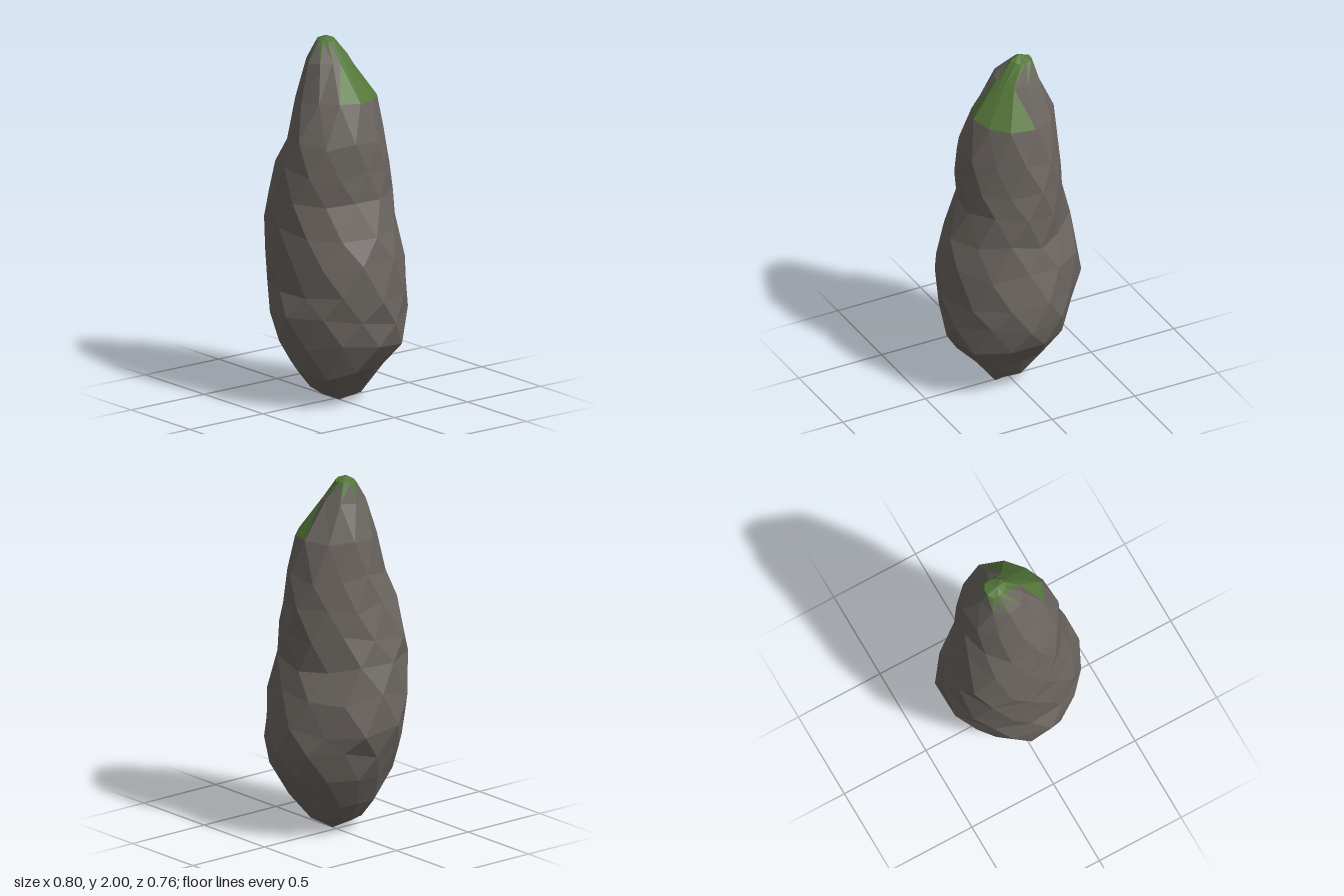
import * as THREE from 'three';

const SIDES = 11;

// Cross-sections from bottom to top: height, then the radius in eight
// directions turning from +x through +z, -x and -z.
const SECTIONS = [
  [0.07, 0.13, 0.14, 0.16, 0.13, 0.08, 0.11, 0.11, 0.14],
  [0.20, 0.27, 0.28, 0.28, 0.22, 0.17, 0.21, 0.20, 0.25],
  [0.36, 0.37, 0.35, 0.36, 0.29, 0.28, 0.31, 0.32, 0.36],
  [0.50, 0.385, 0.37, 0.385, 0.34, 0.345, 0.345, 0.365, 0.385],
  [0.64, 0.40, 0.385, 0.34, 0.36, 0.40, 0.355, 0.385, 0.37],
  [0.82, 0.385, 0.37, 0.34, 0.38, 0.38, 0.35, 0.345, 0.36],
  [0.98, 0.34, 0.33, 0.355, 0.38, 0.355, 0.29, 0.31, 0.32],
  [1.14, 0.28, 0.29, 0.345, 0.38, 0.315, 0.285, 0.33, 0.295],
  [1.30, 0.28, 0.29, 0.32, 0.31, 0.28, 0.29, 0.31, 0.28],
  [1.46, 0.27, 0.28, 0.28, 0.255, 0.265, 0.28, 0.29, 0.255],
  [1.67, 0.21, 0.19, 0.21, 0.215, 0.24, 0.245, 0.245, 0.21],
  [1.87, 0.06, 0.08, 0.13, 0.16, 0.165, 0.16, 0.10, 0.06],
  [1.97, 0.06, 0.05, 0.05, 0.06, 0.06, 0.06, 0.05, 0.05],
];

// Small repeatable noise in -1..1
function makeNoise(seed) {
  return () => {
    seed = (seed * 16807) % 2147483647;
    return (seed / 2147483647) * 2 - 1;
  };
}

// Smooth periodic interpolation of the eight radii
function radiusAt(section, angle) {
  const t = ((angle / (Math.PI / 4)) % 8 + 8) % 8;
  const i = Math.floor(t), f = t - i;
  const r = (k) => section[1 + ((i + k + 8) % 8)];
  const [a, b, c, d] = [r(-1), r(0), r(1), r(2)];
  return b + 0.5 * f * (c - a + f * (2 * a - 5 * b + 4 * c - d + f * (3 * (b - c) + d - a)));
}

function facetedMesh(name, triangles, color) {
  const geometry = new THREE.BufferGeometry().setFromPoints(triangles.flat());
  geometry.computeVertexNormals();
  const mesh = new THREE.Mesh(geometry, new THREE.MeshStandardMaterial({ color, flatShading: true }));
  mesh.name = name;
  return mesh;
}

export function createModel() {
  const noise = makeNoise(4217);
  const last = SECTIONS.length - 1;

  // Rings of corners, every other ring turned by half a side
  const rings = SECTIONS.map((section, level) => {
    const top = level === last;
    const rough = level > last - 3 ? 0.3 : 1;
    return Array.from({ length: SIDES }, (_, i) => {
      const angle = ((i + (level % 2) / 2) / SIDES) * Math.PI * 2;
      const r = radiusAt(section, angle) * (1.01 + 0.03 * rough * noise());
      const y = section[0] + 0.03 * rough * noise();
      return new THREE.Vector3(Math.cos(angle) * r - (top ? 0.075 : 0), y, Math.sin(angle) * r);
    });
  });

  const triangles = [];
  const bottom = new THREE.Vector3(0.03, 0, 0);
  const tip = new THREE.Vector3(-0.07, 2, 0.01);
  for (let i = 0; i < SIDES; i++) {
    const j = (i + 1) % SIDES;
    triangles.push([bottom, rings[0][i], rings[0][j]]);
    for (let k = 0; k < last; k++) {
      const low = rings[k], up = rings[k + 1];
      if (k % 2 === 0) triangles.push([low[i], up[i], low[j]], [up[i], up[j], low[j]]);
      else triangles.push([low[i], up[i], up[j]], [low[i], up[j], low[j]]);
    }
    triangles.push([rings[last][i], tip, rings[last][j]]);
  }

  // The green cap covers the tip and the slope toward +x and -z
  const isGreen = ([a, b, c]) => {
    const m = new THREE.Vector3().add(a).add(b).add(c).divideScalar(3);
    const angle = Math.atan2(m.z, m.x + 0.05);
    return m.y > 1.92 || (m.y > 1.69 && angle > -1.4 && angle < 0.35);
  };

  const group = new THREE.Group();
  group.name = 'tallRock';
  group.add(facetedMesh('stone', triangles.filter((t) => !isGreen(t)), 0x6b6560));
  group.add(facetedMesh('mossCap', triangles.filter(isGreen), 0x55783a));
  return group;
}
